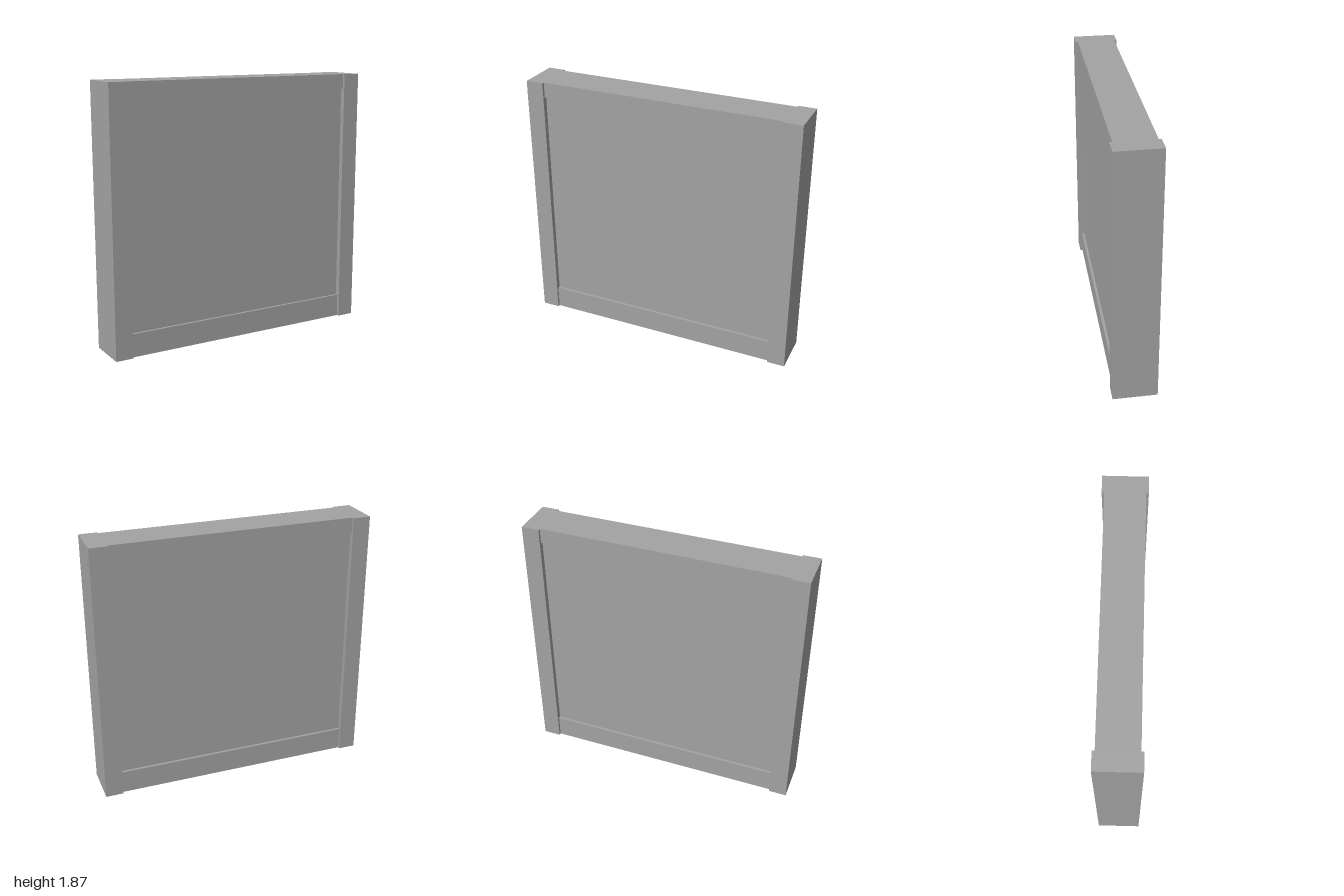
import * as THREE from 'three';

const HEIGHT = 1.873;
const POST_INNER = 0.873;

export function createModel() {
  const model = new THREE.Group();
  model.name = 'framedPanel';

  const grey = new THREE.MeshStandardMaterial({ color: 0xa3a3a3 });
  grey.name = 'plain grey';

  // Box spanning the given x and y limits, centred on z = 0
  function slab(name, x0, x1, y0, y1, depth) {
    const mesh = new THREE.Mesh(new THREE.BoxGeometry(x1 - x0, y1 - y0, depth), grey);
    mesh.position.set((x0 + x1) / 2, (y0 + y1) / 2, 0);
    mesh.name = name;
    model.add(mesh);
  }

  // Side posts, the deepest parts
  slab('leftPost', POST_INNER, 1, 0, HEIGHT, 0.312);
  slab('rightPost', -1, -POST_INNER, 0, HEIGHT, 0.312);

  // Rails between the posts, set slightly back
  slab('topRail', -POST_INNER, POST_INNER, 1.765, HEIGHT, 0.276);
  slab('bottomRail', -POST_INNER, POST_INNER, 0, 0.167, 0.276);

  // Recessed infill panel
  slab('panel', -POST_INNER, POST_INNER, 0.167, 1.765, 0.238);

  return model;
}
